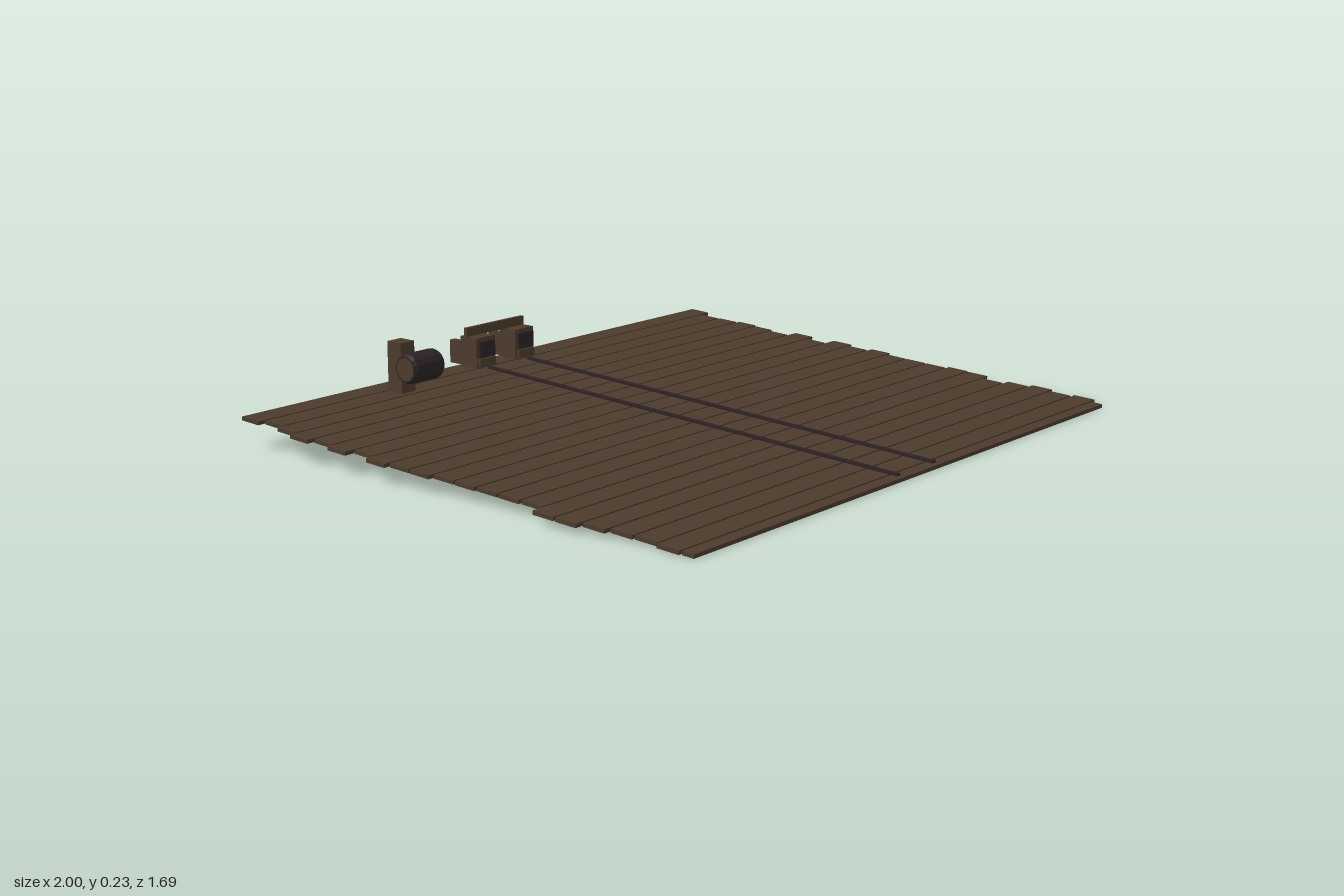
import * as THREE from 'three';

export function createModel() {
  const model = new THREE.Group();
  const wood = new THREE.MeshStandardMaterial({ name: 'weathered wood', color: 0x4b3b2c });
  const dark = new THREE.MeshStandardMaterial({ name: 'dark rope and iron', color: 0x2b2225 });

  const add = (parent, name, geometry, material, x, y, z) => {
    const mesh = new THREE.Mesh(geometry, material);
    mesh.name = name;
    mesh.position.set(x, y, z);
    parent.add(mesh);
    return mesh;
  };
  const box = (parent, name, material, [w, h, d], [x, y, z]) =>
    add(parent, name, new THREE.BoxGeometry(w, h, d), material, x, y, z);

  // Sloping deck: height of the plank centres along z
  const slope = 0.0485;
  const deckY = z => 0.006 + (0.838 - z) * slope;
  const tilt = Math.atan(slope);

  // Uneven left and right plank ends, from back to front
  const ends = [
    [-0.98, 1], [-0.96, 0.96], [-0.98, 0.965], [-1, 0.975], [-0.98, 0.965], [-1, 0.95],
    [-0.97, 0.99], [-1, 0.955], [-0.985, 1], [-0.985, 0.98], [-0.97, 1], [-0.97, 0.98],
    [-0.965, 0.98], [-0.965, 0.98], [-0.96, 0.995], [-1, 0.99], [-1, 0.955], [-0.98, 0.98],
    [-0.965, 1], [-0.96, 0.98], [-0.97, 0.995], [-0.965, 0.965],
  ];
  const deck = new THREE.Group();
  deck.name = 'deck';
  model.add(deck);
  ends.forEach(([a, b], i) => {
    const depth = i === ends.length - 1 ? 0.036 : 0.069;
    const z = -0.777 + i * 0.0753 + depth / 2;
    const plank = box(deck, 'plank', wood, [b - a, 0.011, depth], [(a + b) / 2, deckY(z), z]);
    plank.rotation.x = tilt;
  });

  // Two hauling ropes over the deck, each with its pulley block and rear board
  for (const x of [-0.09, 0.08]) {
    const z = 0.07;
    const rope = box(model, 'rope', dark, [0.016, 0.008, 1.51], [x, deckY(z) + 0.008, z]);
    rope.rotation.x = tilt;

    const block = new THREE.Group();
    block.name = 'pulleyBlock';
    block.position.x = x;
    model.add(block);
    box(block, 'blockBody', wood, [0.08, 0.097, 0.068], [0, 0.133, -0.734]);
    box(block, 'blockFace', dark, [0.064, 0.05, 0.009], [0, 0.145, -0.6955]);
    box(block, 'blockSill', wood, [0.068, 0.025, 0.01], [0, 0.105, -0.695]);
    box(block, 'rearBoard', wood, [0.021, 0.072, 0.08], [0, 0.119, -0.805]);
  }
  box(model, 'crossBar', wood, [0.25, 0.028, 0.012], [-0.005, 0.195, -0.746]);

  // Winch: post carrying a horizontal drum
  box(model, 'winchPost', wood, [0.054, 0.153, 0.056], [-0.465, 0.158, -0.676]);
  const drum = new THREE.Group();
  drum.name = 'winchDrum';
  drum.position.set(-0.465, 0.17, -0.596);
  drum.rotation.z = Math.PI / 2;
  model.add(drum);
  const profile = [[0.033, -0.06], [0.039, -0.06], [0.045, -0.05], [0.045, 0.05], [0.039, 0.06], [0.033, 0.06]];
  const winding = new THREE.LatheGeometry(profile.map(p => new THREE.Vector2(...p)), 16).toNonIndexed();
  winding.computeVertexNormals();
  add(drum, 'ropeWinding', winding, dark, 0, 0, 0);
  add(drum, 'drumCore', new THREE.CylinderGeometry(0.034, 0.034, 0.121, 16), wood, 0, 0, 0);

  return model;
}
